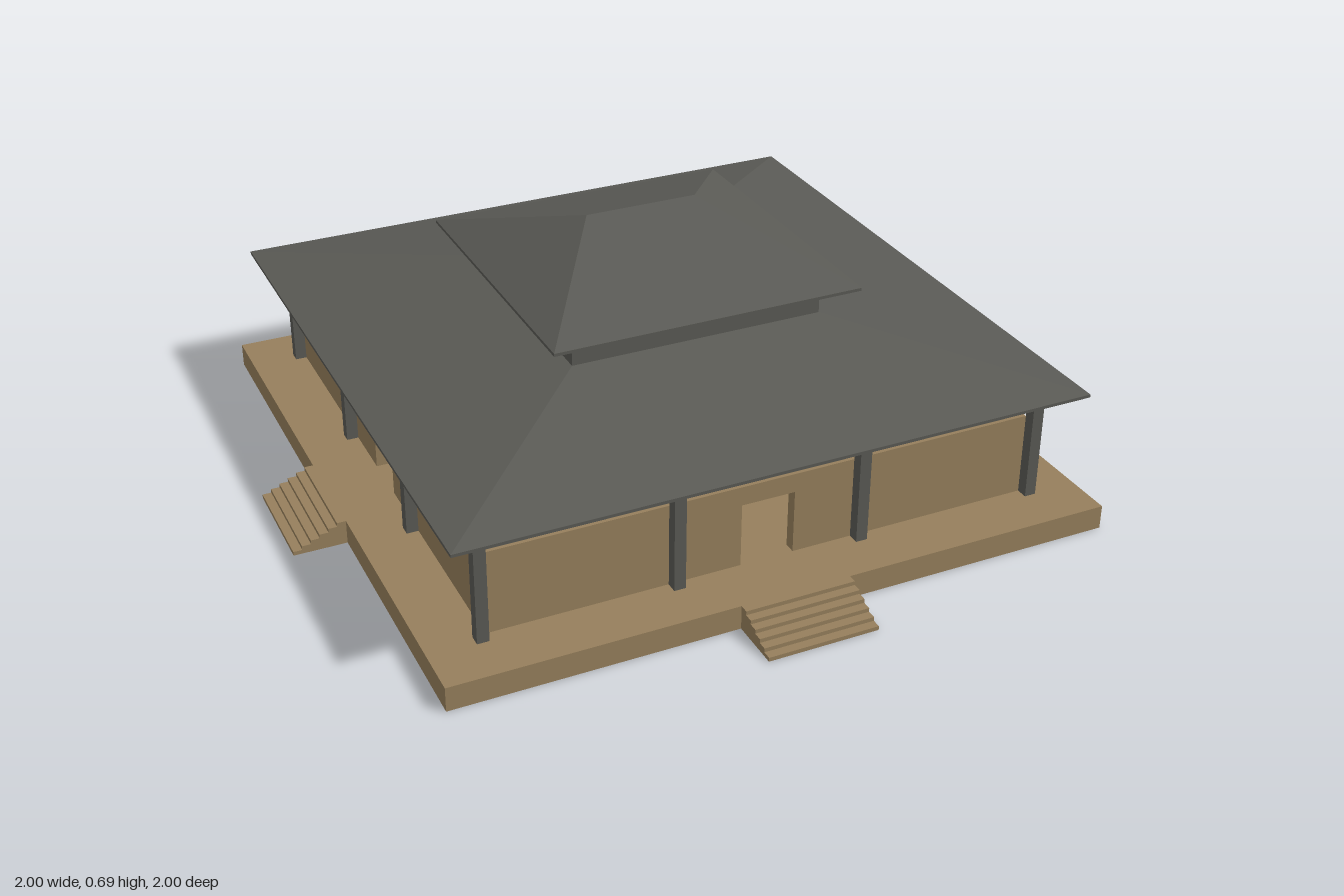
import * as THREE from 'three';

const earth = new THREE.MeshStandardMaterial({ name: 'earth brown', color: 0x967f5c });
const slate = new THREE.MeshStandardMaterial({ name: 'slate grey', color: 0x5a5a55 });

const FLOOR = 0.063, BASE = 0.863, WALL = 0.715, THICK = 0.03, EAVE = 0.365;

function add(parent, name, geometry, material, x = 0, y = 0, z = 0) {
  const mesh = new THREE.Mesh(geometry, material);
  mesh.name = name;
  mesh.position.set(x, y, z);
  parent.add(mesh);
  return mesh;
}

// Box that stands on y = 0
const block = (w, h, d) => new THREE.BoxGeometry(w, h, d).translate(0, h / 2, 0);

// Sloped roof: a square base tapering to a top rectangle of half-size tx, tz
function hip(half, tx, tz, height) {
  const g = new THREE.BoxGeometry(2, 1, 2);
  const p = g.attributes.position;
  for (let i = 0; i < p.count; i++) {
    const top = p.getY(i) > 0;
    p.setXYZ(i, p.getX(i) * (top ? tx : half), top ? height : 0, p.getZ(i) * (top ? tz : half));
  }
  g.computeVertexNormals();
  return g;
}

// Wall with a doorway open down to the floor
function wallGeometry(half) {
  const h = 0.28 - FLOOR, door = 0.07, doorTop = 0.23 - FLOOR;
  const s = new THREE.Shape([
    [-half, 0], [-door, 0], [-door, doorTop], [door, doorTop],
    [door, 0], [half, 0], [half, h], [-half, h],
  ].map(([x, y]) => new THREE.Vector2(x, y)));
  return new THREE.ExtrudeGeometry(s, { depth: THICK, bevelEnabled: false });
}

export function createModel() {
  const model = new THREE.Group();
  model.name = 'pavilion';

  add(model, 'platform', block(BASE * 2, FLOOR, BASE * 2), earth);

  // Each side: wall, stairs and posts
  const steps = 6, run = (1 - BASE) / steps, rise = FLOOR / steps;
  for (let k = 0; k < 4; k++) {
    const side = new THREE.Group();
    side.name = ['front', 'left', 'back', 'right'][k] + 'Side';
    side.rotation.y = k * Math.PI / 2;
    model.add(side);

    add(side, 'wall', wallGeometry(k % 2 ? WALL - THICK : WALL), earth, 0, FLOOR, WALL - THICK);

    const stairs = new THREE.Group();
    stairs.name = 'stairs';
    side.add(stairs);
    for (let i = 0; i < steps; i++) {
      add(stairs, 'step', block(0.286, FLOOR - i * rise, run), earth, 0, 0, BASE + (i + 0.5) * run);
    }

    // Three posts per side, the next side supplies the other corner
    for (const x of [-0.73, -0.243, 0.243]) {
      add(side, 'post', block(0.03, EAVE - FLOOR, 0.03), slate, x, FLOOR, 0.73);
    }
  }

  // Lower roof, raised neck and upper roof with its ridge along x
  const lip = 0.008;
  add(model, 'lowerEave', block(1.64, lip, 1.64), slate, 0, EAVE - 0.003, 0);
  add(model, 'lowerRoof', hip(0.82, 0.335, 0.335, 0.102), slate, 0, EAVE - 0.003 + lip, 0);
  add(model, 'neck', block(0.67, 0.078, 0.67), slate, 0, 0.472, 0);
  add(model, 'upperEave', block(0.82, lip, 0.82), slate, 0, 0.55, 0);
  add(model, 'upperRoof', hip(0.41, 0.15, 0, 0.134), slate, 0, 0.55 + lip, 0);

  return model;
}
